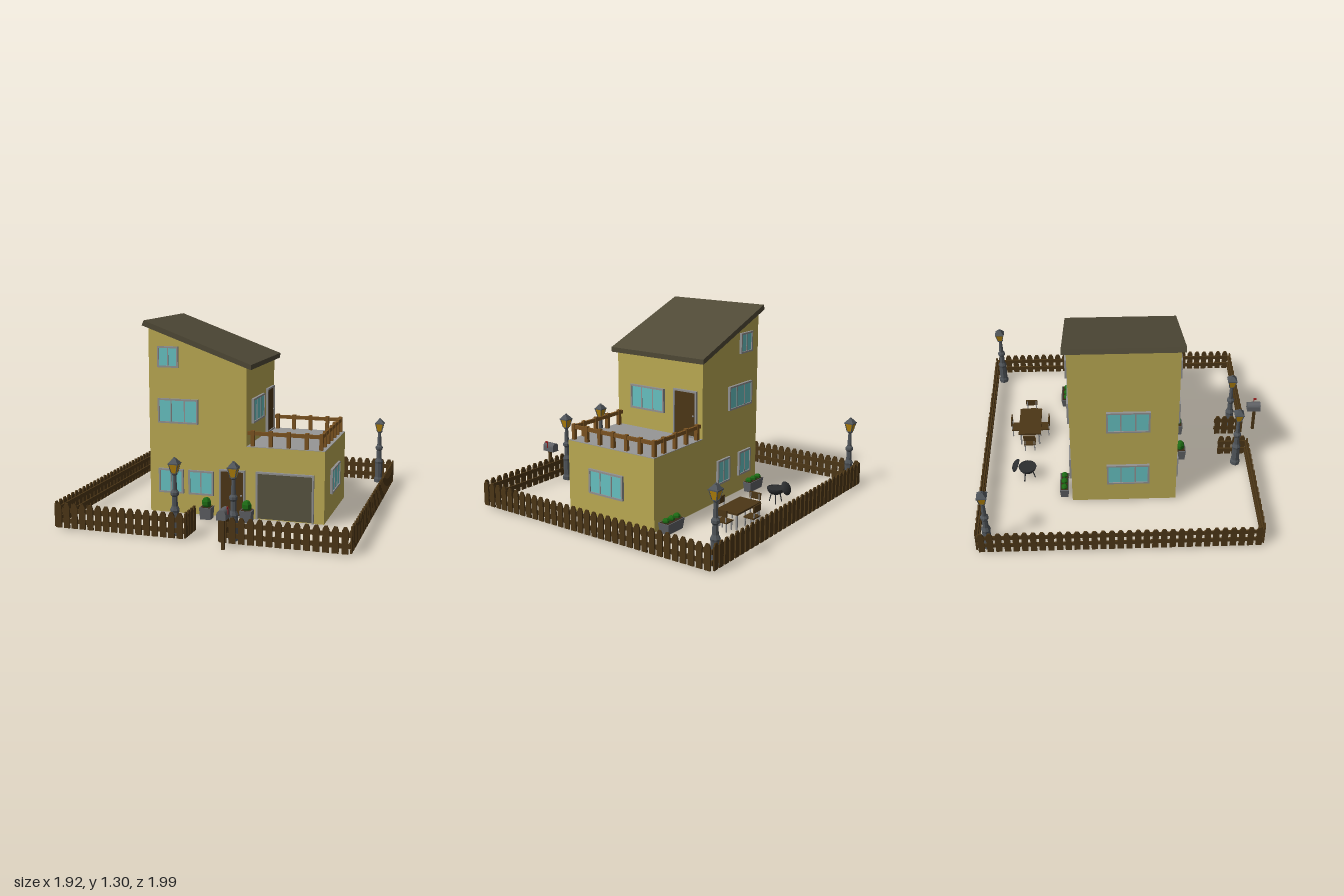
import * as THREE from 'three';

const mat = (color, flatShading = false) => new THREE.MeshStandardMaterial({ color, flatShading });
const M = {
  wall: mat(0xbaa952), roof: mat(0x504a37), frame: mat(0x919191), glass: mat(0x66c0c0),
  deck: mat(0x969696), darkWood: mat(0x4c3616), rail: mat(0x7a5220), garage: mat(0x56523f),
  iron: mat(0x50555a, true), amber: mat(0xb8860b, true), pot: mat(0x606266), leaf: mat(0x1c6b14, true),
  black: mat(0x2c2e30), red: mat(0xa02020), soil: mat(0x3a2a18),
};

function add(parent, name, geo, m, x = 0, y = 0, z = 0) {
  const mesh = new THREE.Mesh(geo, m);
  mesh.name = name;
  mesh.position.set(x, y, z);
  parent.add(mesh);
  return mesh;
}
const box = (p, name, m, w, h, d, x, y, z) => add(p, name, new THREE.BoxGeometry(w, h, d), m, x, y, z);
function group(parent, name, x = 0, y = 0, z = 0, ry = 0) {
  const g = new THREE.Group();
  g.name = name;
  g.position.set(x, y, z);
  g.rotation.y = ry;
  parent.add(g);
  return g;
}
const shapeOf = pts => new THREE.Shape(pts.map(p => new THREE.Vector2(...p)));
function extrude(pts, depth) {
  return new THREE.ExtrudeGeometry(shapeOf(pts), { depth, bevelEnabled: false });
}

// Framed opening facing +z, centred on its group, standing from y = 0
function opening(parent, name, w, h, panes, fill, sill, x, y, z, ry) {
  const g = group(parent, name, x, y, z, ry), t = 0.012, d = 0.034;
  box(g, 'panel', fill, w - t, h - t, 0.02, 0, h / 2, 0);
  for (const s of [-1, 1]) box(g, 'jamb', M.frame, t, h, d, s * (w - t) / 2, h / 2, 0);
  box(g, 'head', M.frame, w, t, d, 0, h - t / 2, 0);
  if (sill) box(g, 'sill', M.frame, w, t, d, 0, t / 2, 0);
  for (let i = 1; i < panes; i++) box(g, 'mullion', M.frame, 0.008, h, d - 0.006, -w / 2 + w * i / panes, h / 2, 0);
  return g;
}

function house(root) {
  const g = group(root, 'house');
  // Tall block with a sloping top, and the mono-pitch roof slab
  add(g, 'tower', extrude([[-0.51, 0.01], [0.165, 0.01], [0.165, 1.02], [-0.51, 1.265]], 0.702), M.wall, 0, 0, -0.375);
  add(g, 'roof', extrude([[-0.545, 1.267], [0.2, 0.998], [0.202, 1.031], [-0.532, 1.3]], 0.757), M.roof, 0, 0, -0.403);
  // Garage with a flat roof terrace
  box(g, 'garage', M.wall, 0.52, 0.48, 0.7, 0.425, 0.25, -0.025);
  box(g, 'terraceFloor', M.deck, 0.52, 0.004, 0.7, 0.425, 0.491, -0.025);

  // Windows: centre along the wall, sill height, width, height, panes
  const front = 0.327, back = -0.375, P = Math.PI;
  const win = (w, h, n, x, y, z, ry) => opening(g, 'window', w, h, n, M.glass, true, x, y, z, ry);
  win(0.145, 0.14, 2, -0.372, 0.993, front, 0);
  win(0.28, 0.165, 3, -0.305, 0.622, front, 0);
  win(0.175, 0.165, 2, -0.357, 0.147, front, 0);
  win(0.175, 0.165, 2, -0.147, 0.147, front, 0);
  win(0.145, 0.14, 2, -0.345, 0.993, back, P);
  win(0.285, 0.165, 3, -0.28, 0.622, back, P);
  win(0.15, 0.17, 2, -0.08, 0.13, back, P);
  win(0.15, 0.17, 2, -0.345, 0.13, back, P);
  win(0.285, 0.165, 3, -0.51, 0.622, 0.003, -P / 2);
  win(0.285, 0.165, 3, -0.51, 0.168, 0.003, -P / 2);
  win(0.28, 0.165, 3, 0.165, 0.625, 0.07, P / 2);
  win(0.28, 0.165, 3, 0.685, 0.168, 0.005, P / 2);

  // Doors
  for (const a of [['frontDoor', 0.177, 0.32, 0.069, 0.012, front, 0], ['terraceDoor', 0.187, 0.315, 0.165, 0.493, -0.242, P / 2]]) {
    const [name, w, h, x, y, z, ry] = a;
    const d = opening(g, name, w, h, 1, M.darkWood, true, x, y, z, ry);
    add(d, 'knob', new THREE.SphereGeometry(0.007, 10, 8), M.frame, w * 0.36, h * 0.47, 0.015);
  }
  opening(g, 'garageDoor', 0.385, 0.32, 1, M.garage, false, 0.425, 0.012, front, 0);

  // Terrace railing
  const r = group(g, 'railing');
  const post = (x, z) => box(r, 'post', M.rail, 0.024, 0.105, 0.024, x, 0.545, z);
  for (const z of [0.3, -0.355]) {
    for (let i = 0; i < 4; i++) post(0.2 + i * 0.12, z);
    box(r, 'rail', M.rail, 0.5, 0.024, 0.016, 0.415, 0.578, z);
  }
  for (let i = 0; i < 7; i++) post(0.655, 0.3 - i * 0.655 / 6);
  box(r, 'rail', M.rail, 0.016, 0.024, 0.67, 0.655, 0.578, -0.027);
}

// Picket fence; the pickets lie on the left-hand local +z side of the run
const picket = extrude([[-0.02, 0.01], [0.02, 0.01], [0.02, 0.15], [0.009, 0.172], [-0.009, 0.172], [-0.02, 0.15]], 0.01);
function fence(root, x1, z1, x2, z2) {
  const L = Math.hypot(x2 - x1, z2 - z1), n = Math.round(L / 0.056);
  const g = group(root, 'fence', x1, 0, z1, Math.atan2(z1 - z2, x2 - x1));
  for (let i = 0; i < n; i++) add(g, 'picket', picket, M.darkWood, (i + 0.5) * L / n, 0, 0);
  for (const y of [0.055, 0.122]) box(g, 'rail', M.darkWood, L, 0.028, 0.01, L / 2, y, -0.005);
}

function lamp(root, x, z) {
  const g = group(root, 'streetLamp', x, 0, z);
  const prof = [[0, 0.005], [0.034, 0.005], [0.034, 0.03], [0.028, 0.045], [0.028, 0.15], [0.032, 0.165], [0.02, 0.19],
    [0.018, 0.25], [0.027, 0.262], [0.027, 0.278], [0.016, 0.292], [0.012, 0.385], [0.02, 0.392], [0.02, 0.4], [0, 0.4]];
  add(g, 'column', new THREE.LatheGeometry(prof.map(p => new THREE.Vector2(...p)), 8), M.iron);
  const square = (name, m, a, b, h, y) => {
    add(g, name, new THREE.CylinderGeometry(a * Math.SQRT2, b * Math.SQRT2, h, 4), m, 0, y, 0).rotation.y = Math.PI / 4;
  };
  // Tapered lantern with corner bars and a pyramid cap
  square('lantern', M.amber, 0.028, 0.016, 0.056, 0.428);
  for (const sx of [-1, 1]) for (const sz of [-1, 1]) {
    const bar = box(g, 'bar', M.iron, 0.005, 0.06, 0.005, sx * 0.022, 0.428, sz * 0.022);
    bar.rotation.set(sz * 0.21, 0, -sx * 0.21);
  }
  square('capRim', M.iron, 0.033, 0.033, 0.007, 0.459);
  square('cap', M.iron, 0.01, 0.031, 0.028, 0.476);
  add(g, 'finial', new THREE.SphereGeometry(0.008, 8, 6), M.iron, 0, 0.492, 0);
}

function planter(root, x, z, w, d, bushes, h, leafH) {
  const g = group(root, 'planter', x, 0, z);
  // Square-sided trough narrowing toward the foot
  const geo = new THREE.BoxGeometry(w, h, d), p = geo.attributes.position;
  for (let i = 0; i < p.count; i++) if (p.getY(i) < 0) p.setXYZ(i, p.getX(i) * 0.88, p.getY(i), p.getZ(i) * 0.8);
  geo.computeVertexNormals();
  add(g, 'trough', geo, M.pot, 0, h / 2 + 0.005, 0);
  box(g, 'soil', M.soil, w - 0.014, 0.004, d - 0.014, 0, h + 0.005, 0);
  for (let i = 0; i < bushes; i++) {
    const r = Math.min(d, w / bushes) * 0.42;
    const b = add(g, 'bush', new THREE.SphereGeometry(r, 6, 5), M.leaf, (i - (bushes - 1) / 2) * w / bushes * 0.98, h + leafH * 0.4, 0);
    b.scale.y = leafH / r / 2;
  }
}

function furniture(root) {
  const g = group(root, 'diningSet', 0.207, 0, -0.69);
  const legs = (p, w, d, h, t) => {
    for (const sx of [-1, 1]) for (const sz of [-1, 1]) box(p, 'leg', M.frame, t, h, t, sx * w, h / 2 + 0.005, sz * d);
  };
  box(g, 'tableTop', M.darkWood, 0.285, 0.012, 0.16, 0, 0.114, 0);
  legs(g, 0.125, 0.065, 0.105, 0.01);
  // Four chairs, backs facing outward
  for (const [x, z, ry] of [[0, 0.1, 0], [0, -0.1, Math.PI], [0.167, 0, Math.PI / 2], [-0.167, 0, -Math.PI / 2]]) {
    const c = group(g, 'chair', x, 0, z, ry);
    box(c, 'seat', M.darkWood, 0.084, 0.009, 0.076, 0, 0.067, 0);
    box(c, 'back', M.darkWood, 0.084, 0.045, 0.009, 0, 0.128, 0.036);
    for (const s of [-1, 1]) box(c, 'upright', M.frame, 0.007, 0.08, 0.007, s * 0.032, 0.105, 0.034);
    legs(c, 0.034, 0.03, 0.062, 0.007);
  }
}

function grill(root) {
  const g = group(root, 'kettleGrill', -0.265, 0, -0.69);
  const shell = new THREE.SphereGeometry(0.06, 20, 8, 0, Math.PI * 2, 0, Math.PI / 2);
  const black = M.black.clone();
  black.side = THREE.DoubleSide;
  const bowl = add(g, 'bowl', shell, black, 0, 0.105, 0);
  bowl.rotation.x = Math.PI;
  bowl.scale.y = 0.8;
  add(g, 'grate', new THREE.CylinderGeometry(0.058, 0.058, 0.003, 20), M.black, 0, 0.102, 0);
  add(g, 'rim', new THREE.TorusGeometry(0.059, 0.003, 6, 20), M.black, 0, 0.105, 0).rotation.x = Math.PI / 2;
  const lid = add(g, 'lid', shell, black, 0, 0.115, -0.075);
  lid.rotation.x = -1.1;
  lid.scale.set(0.8, 0.45, 0.8);
  for (let i = 0; i < 3; i++) {
    const leg = group(g, 'legMount', 0, 0, 0, i * Math.PI * 2 / 3);
    add(leg, 'leg', new THREE.CylinderGeometry(0.004, 0.004, 0.085, 6), M.black, 0, 0.043, 0.038).rotation.x = -0.25;
  }
}

function mailbox(root) {
  const g = group(root, 'mailbox', 0.205, 0, 0.952);
  box(g, 'post', M.darkWood, 0.02, 0.19, 0.02, 0, 0.095, 0.008);
  const s = new THREE.Shape();
  s.moveTo(-0.028, 0.188);
  s.lineTo(0.028, 0.188);
  s.lineTo(0.028, 0.222);
  s.absarc(0, 0.222, 0.028, 0, Math.PI, false);
  s.closePath();
  add(g, 'body', new THREE.ExtrudeGeometry(s, { depth: 0.096, bevelEnabled: false, curveSegments: 10 }), M.pot, 0, 0, -0.048);
  box(g, 'flagArm', M.red, 0.004, 0.045, 0.006, 0.03, 0.238, 0.004);
  box(g, 'flag', M.red, 0.004, 0.014, 0.022, 0.03, 0.258, 0.012);
}

export function createModel() {
  const root = new THREE.Group();
  root.name = 'houseAndGarden';
  house(root);
  // Boundary with a gap and short returns at the entrance
  const X = 0.948, F = 0.862, B = -0.982;
  for (const run of [[-X, F, -0.075, F], [-0.078, F, -0.078, 0.66], [0.152, 0.66, 0.152, F], [0.148, F, X, F],
    [X, F, X, B], [X, B, -X, B], [-X, B, -X, F]]) fence(root, ...run);
  for (const [x, z] of [[-0.9, -0.92], [0.85, -0.937], [-0.165, 0.78], [0.215, 0.78]]) lamp(root, x, z);
  planter(root, -0.397, -0.43, 0.175, 0.062, 3, 0.07, 0.04);
  planter(root, 0.58, -0.43, 0.175, 0.08, 3, 0.07, 0.04);
  for (const x of [-0.09, 0.185]) planter(root, x, 0.39, 0.08, 0.08, 1, 0.08, 0.08);
  furniture(root);
  grill(root);
  mailbox(root);
  return root;
}
